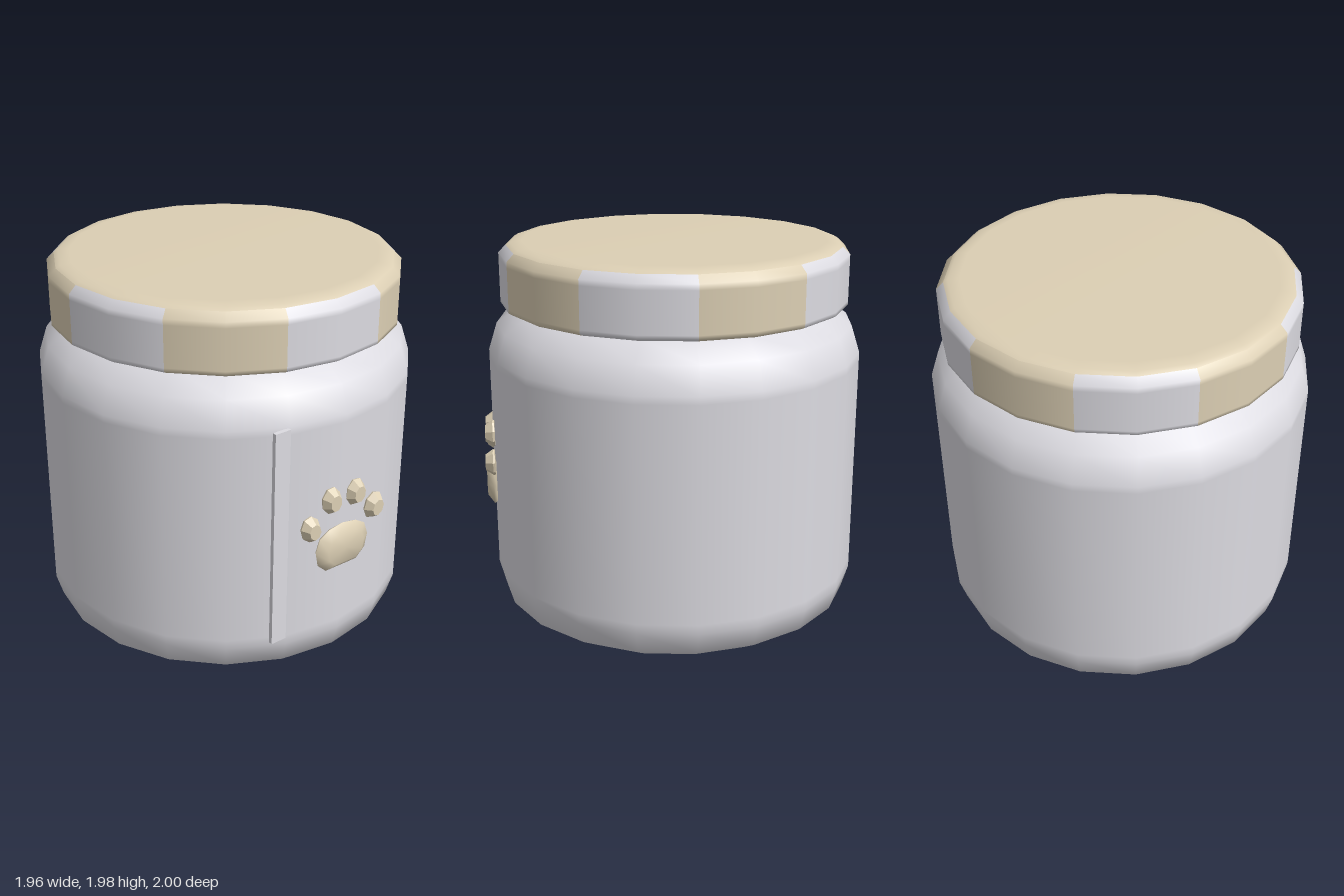
import * as THREE from 'three';

const SIDES = 20;
const CENTRE_Z = -0.02;

function material(name, color) {
  const m = new THREE.MeshStandardMaterial({ color });
  m.name = name;
  return m;
}

// Turned part from [radius, height] pairs, listed bottom to top
function turned(name, profile, mat, start = 0, steps = SIDES) {
  const step = (Math.PI * 2) / SIDES;
  const points = profile.map(([r, y]) => new THREE.Vector2(r, y));
  const geo = new THREE.LatheGeometry(points, steps, start * step, steps * step);
  const mesh = new THREE.Mesh(geo, mat);
  mesh.name = name;
  mesh.position.z = CENTRE_Z;
  return mesh;
}

// Bevelled cushion: outline rings [scale, z] from back to front, closed both ends
function cushion(name, outline, rings, mat, flat) {
  const n = outline.length, pos = [], index = [];
  for (const [s, z] of rings) for (const [x, y] of outline) pos.push(x * s, y * s, z);
  const last = (rings.length - 1) * n;
  pos.push(0, 0, rings[0][1], 0, 0, rings[rings.length - 1][1]);
  const back = rings.length * n, front = back + 1;
  for (let i = 0; i < n; i++) {
    const j = (i + 1) % n;
    for (let k = 0; k < last; k += n) {
      index.push(k + i, k + j, k + n + j, k + i, k + n + j, k + n + i);
    }
    index.push(back, j, i, front, last + i, last + j);
  }
  let geo = new THREE.BufferGeometry();
  geo.setAttribute('position', new THREE.Float32BufferAttribute(pos, 3));
  geo.setIndex(index);
  if (flat) geo = geo.toNonIndexed();
  geo.computeVertexNormals();
  const mesh = new THREE.Mesh(geo, mat);
  mesh.name = name;
  return mesh;
}

export function createModel() {
  const white = material('jar white', 0xdcdbe1);
  const tan = material('warm tan', 0xdccfb4);
  const model = new THREE.Group();
  model.name = 'jar';

  // Rounded jar body
  model.add(turned('body', [
    [0, 0], [0.8, 0], [0.84, 0.005], [0.945, 0.07], [0.98, 0.19], [0.98, 0.24],
    [0.98, 1.37], [0.98, 1.41], [0.935, 1.55], [0.81, 1.635], [0.78, 1.64],
  ], white));

  // Neck and underside of the lid
  model.add(turned('neck', [[0.8, 1.625], [0.8, 1.655]], tan));
  model.add(turned('lidUnderside', [[0.78, 1.65], [0.89, 1.65]], tan));

  // Lid rim: ten alternating stripes, a white one centred on the front
  const rim = new THREE.Group();
  rim.name = 'lidRim';
  for (let i = 0; i < 10; i++) {
    rim.add(turned('rimStripe', [
      [0.89, 1.65], [0.91, 1.662], [0.91, 1.68], [0.91, 1.89], [0.91, 1.92], [0.872, 1.957],
    ], i % 2 ? tan : white, i * 2 - 1, 2));
  }
  model.add(rim);
  model.add(turned('lidTop', [
    [0.872, 1.957], [0.85, 1.97], [0.79, 1.98], [0, 1.98],
  ], tan));

  // Thin upright strip on the front
  const strip = new THREE.Mesh(new THREE.BoxGeometry(0.09, 1.17, 0.022), white);
  strip.name = 'frontStrip';
  strip.position.set(-0.357, 0.82, 0.911);
  model.add(strip);

  // Paw emblem: one pad and four toes
  const paw = new THREE.Group();
  paw.name = 'pawEmblem';
  const half = [[0.1, -0.12], [0.155, -0.07], [0.17, 0.005], [0.145, 0.075], [0.085, 0.11]];
  const padOutline = [
    ...half, [0, 0.125], ...half.map(([x, y]) => [-x, y]).reverse(),
  ];
  const pad = cushion('pawPad', padOutline, [[0.93, 0.95], [1, 0.965], [0.68, 1]], tan, false);
  pad.position.y = 0.695;
  paw.add(pad);

  const toeOutline = [];
  for (let i = 0; i < 8; i++) {
    const a = ((i + 0.5) * Math.PI) / 4;
    toeOutline.push([0.058 * Math.cos(a), 0.074 * Math.sin(a)]);
  }
  for (const side of [-1, 1]) {
    for (const [x, y, tilt] of [[0.205, 0.85, 0.28], [0.077, 0.967, 0.08]]) {
      const toe = cushion('pawToe', toeOutline, [[0.95, 0.95], [1, 0.96], [0.6, 1]], tan, true);
      toe.position.set(side * x, y, 0);
      toe.rotation.z = -side * tilt;
      paw.add(toe);
    }
  }
  model.add(paw);
  return model;
}
